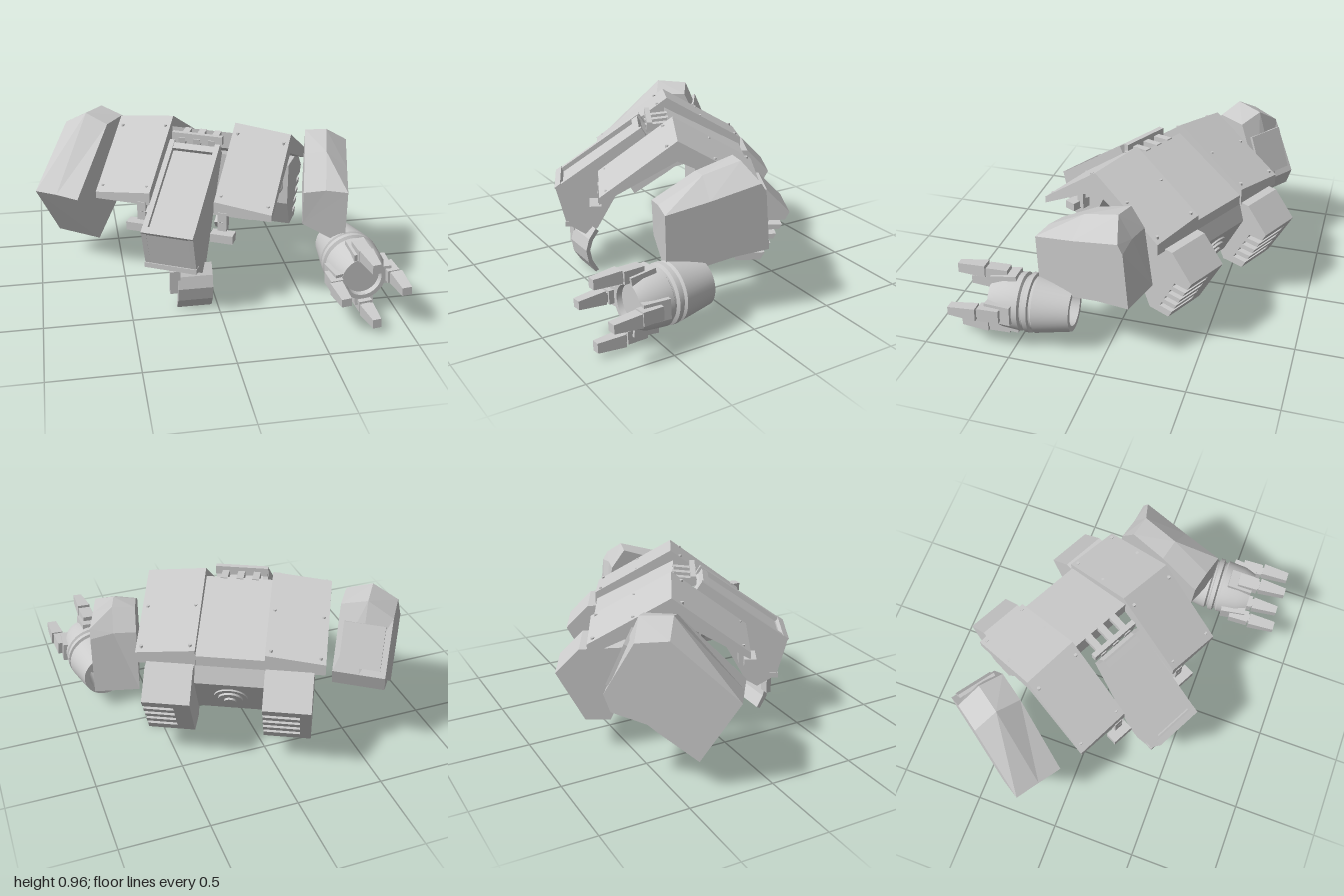
import * as THREE from 'three';
import { toCreasedNormals } from 'three/addons/utils/BufferGeometryUtils.js';

const flat = new THREE.MeshStandardMaterial({ color: 0xcccccc, flatShading: true });
const shell = new THREE.MeshStandardMaterial({ color: 0xcccccc, flatShading: true, side: THREE.DoubleSide });
const smooth = new THREE.MeshStandardMaterial({ color: 0xcccccc, side: THREE.DoubleSide });

function add(parent, name, geo, mat = flat) {
  const m = new THREE.Mesh(geo, mat);
  m.name = name;
  parent.add(m);
  return m;
}

function box(parent, name, size, pos, rx = 0) {
  const m = add(parent, name, new THREE.BoxGeometry(...size));
  m.position.set(...pos);
  m.rotation.x = rx;
  return m;
}

// Side profile of [z, y] points, extruded in x from x0 to x1
function slab(parent, name, pts, x0, x1) {
  const shape = new THREE.Shape(pts.map(p => new THREE.Vector2(...p)));
  const g = new THREE.ExtrudeGeometry(shape, { depth: x1 - x0, bevelEnabled: false });
  g.rotateY(-Math.PI / 2).translate(x1, 0, 0);
  return add(parent, name, g);
}

// Solid through equal rings of [x, y, z] points, wound outward; open leaves out the first side
function loft(rings, open = false) {
  const n = rings[0].length, last = rings.length - 1, tris = [];
  for (let r = 0; r < last; r++) for (let i = open ? 1 : 0; i < n; i++) {
    const j = (i + 1) % n;
    const a = rings[r][i], b = rings[r][j], c = rings[r + 1][j], d = rings[r + 1][i];
    tris.push([a, b, c], [a, c, d]);
  }
  for (let i = 1; i < n - 1; i++) {
    tris.push([rings[0][0], rings[0][i + 1], rings[0][i]]);
    tris.push([rings[last][0], rings[last][i], rings[last][i + 1]]);
  }
  const v = p => new THREE.Vector3(...p);
  const volume = tris.reduce((s, t) => s + v(t[0]).dot(v(t[1]).cross(v(t[2]))), 0);
  if (volume < 0) tris.forEach(t => t.reverse());
  const g = new THREE.BufferGeometry();
  g.setAttribute('position', new THREE.Float32BufferAttribute(tris.flat(2), 3));
  g.computeVertexNormals();
  return g;
}

function bolt(parent, x, y, z) {
  add(parent, 'bolt', new THREE.CylinderGeometry(0.01, 0.01, 0.03, 8)).position.set(x, y, z);
}

// Plate, bolts and broken brackets of one torso side, k = +1 left, -1 right
function torsoSide(torso, k) {
  const ring = (z, top, drop, bottom) => [
    [0.19 * k, top, z], [0.52 * k, top - drop, z], [0.52 * k, bottom, z], [0.19 * k, bottom, z]];
  add(torso, 'torsoPlate', loft([
    ring(-0.53, 0.7, 0.035, 0.6), ring(-0.075, 0.96, 0.035, 0.81), ring(0.35, 0.645, 0.035, 0.57)]));
  for (const [z, y] of [[-0.5, 0.71], [-0.28, 0.83], [-0.02, 0.91], [0.31, 0.66]])
    for (const x of [0.22, 0.49]) bolt(torso, x * k, y - (x - 0.19) * 0.1, z);

  const intake = add(torso, 'intakeRing', new THREE.TorusGeometry(0.06, 0.012, 6, 24), smooth);
  intake.position.set(0.36 * k, 0.48, -0.328);

  box(torso, 'bracketStem', [0.05, 0.15, 0.05], [0.24 * k, 0.51, 0.33]);
  box(torso, 'bracketFoot', [0.13, 0.05, 0.07], [0.25 * k, 0.45, 0.37]);
  box(torso, 'bracketRail', [0.05, 0.05, 0.36], [0.22 * k, 0.6, 0.19], 0.55);
}

// Vent box with four slots in the lower rear face: solid x0..x1, slotted x2..x3
function ventBox(torso, x0, x1, x2, x3) {
  const body = [[-0.33, 0.62], [-0.33, 0.36], [-0.42, 0.18], [-0.56, 0.18]];
  const end = [[-0.715, 0.47], [-0.58, 0.61]];
  const edge = h => -0.56 - (h - 0.18) * 0.534;
  const comb = [...body];
  for (let i = 0; i < 4; i++) {
    const y = 0.225 + i * 0.057, top = y + 0.028;
    comb.push([edge(y), y], [edge(y) + 0.09, y], [edge(top) + 0.09, top], [edge(top), top]);
  }
  slab(torso, 'ventBox', [...body, ...end], x0, x1);
  slab(torso, 'ventLouvres', [...comb, ...end], x2, x3);
}

function buildTorso() {
  const torso = new THREE.Group();
  torso.name = 'torso';
  torso.position.set(-0.031, 0, -0.016);
  torso.rotation.y = -0.47;
  for (const k of [-1, 1]) torsoSide(torso, k);
  ventBox(torso, 0.195, 0.29, 0.29, 0.46);
  ventBox(torso, -0.46, -0.4, -0.4, -0.195);

  // Core block with the waist joint on its sloping rear face, and the deck
  slab(torso, 'core', [[-0.2, 0.7], [-0.2, 0.28], [-0.42, 0.25], [-0.55, 0.5], [-0.52, 0.6]], -0.27, 0.27);
  const waist = new THREE.Group();
  waist.name = 'waistJoint';
  waist.position.set(0, 0.375, -0.485);
  waist.rotation.x = -2.05;
  for (const [r, h] of [[0.095, 0.02], [0.07, 0.045], [0.035, 0.07]])
    add(waist, 'waistDisc', toCreasedNormals(new THREE.CylinderGeometry(r, r, h, 32), 0.6), smooth);
  torso.add(waist);
  slab(torso, 'deck', [[-0.06, 0.9], [-0.52, 0.66], [-0.52, 0.58], [-0.06, 0.8]], -0.19, 0.19);
  for (const x of [-0.09, 0, 0.09]) box(torso, 'hingeProng', [0.04, 0.04, 0.14], [x, 0.875, 0], 0.1);
  box(torso, 'hingeBar', [0.3, 0.05, 0.03], [0, 0.89, 0.05]);

  // Wedge cockpit: recessed roof between two side rails
  const nose = [[0.54, 0.3], [0.43, 0.23], [0.36, 0.27], [0.06, 0.82]];
  slab(torso, 'cockpitHull', [[0.1, 0.85], [0.55, 0.535], [0.595, 0.52], ...nose], -0.12, 0.12);
  for (const x of [-0.15, 0.12]) slab(torso, 'cockpitRail', [[0.1, 0.885], [0.6, 0.53], ...nose], x, x + 0.03);
  box(torso, 'cockpitTopFrame', [0.3, 0.04, 0.04], [0, 0.845, 0.115], 0.6);
  box(torso, 'cockpitFrontFrame', [0.3, 0.03, 0.04], [0, 0.53, 0.58], 0.6);
  box(torso, 'noseBand', [0.305, 0.03, 0.05], [0, 0.3, 0.525]);
  return torso;
}

// Shoulder section at a slice of the pod: inner, crest and outer heights, then the lower edge
const slice = (w, zTop, inner, crest, outer, zBottom, bottom, outerBottom = bottom, zOuter = zTop) => side => [
  [-w * side, bottom, zBottom], [w * side, outerBottom, zBottom],
  [w * side, outer, zOuter], [0, crest, zTop], [-w * side, inner, zTop]];

function shoulder(name, pos, yaw, side, slices, open) {
  const g = new THREE.Group();
  g.name = name;
  g.position.set(...pos);
  g.rotation.y = yaw;
  add(g, name + 'Shell', loft(slices.map(s => s(side)), open), open ? shell : flat);
  return g;
}

// Open forearm sleeve, hand drum and four claw fingers along +z
function buildArm() {
  const arm = new THREE.Group();
  arm.name = 'forearm';
  arm.position.set(0.755, 0.232, 0);
  arm.rotation.y = 0.05;
  const profile = [[0, 0.36], [0.09, 0.36], [0.1, 0.19], [0.13, 0.19], [0.165, 0.39], [0.15, 0.4], [0.15, 0.41],
    [0.168, 0.415], [0.168, 0.44], [0.15, 0.45], [0.15, 0.46], [0.165, 0.47], [0.155, 0.58], [0.13, 0.65],
    [0.105, 0.65], [0.1, 0.62], [0, 0.62]];
  const sleeve = new THREE.LatheGeometry(profile.map(p => new THREE.Vector2(...p)), 40);
  add(arm, 'sleeve', toCreasedNormals(sleeve.rotateX(Math.PI / 2), 0.5), smooth);
  for (let i = 0; i < 4; i++) {
    const finger = new THREE.Group();
    finger.name = 'finger';
    finger.rotation.z = i * Math.PI / 2 + 0.08;
    box(finger, 'knuckle', [0.11, 0.06, 0.15], [0, 0.142, 0.575], 0.12);
    box(finger, 'fingerBase', [0.075, 0.07, 0.12], [0, 0.165, 0.62]);
    box(finger, 'fingerJoint', [0.05, 0.045, 0.08], [0, 0.165, 0.69]);
    add(finger, 'fingerTip', loft([
      [[-0.038, 0.14, 0.69], [0.038, 0.14, 0.69], [0.038, 0.21, 0.69], [-0.038, 0.21, 0.69]],
      [[-0.024, 0.145, 0.85], [0.024, 0.145, 0.85], [0.024, 0.2, 0.85], [-0.024, 0.2, 0.85]]]));
    arm.add(finger);
  }
  return arm;
}

export function createModel() {
  const model = new THREE.Group();
  model.name = 'wreckedMechTorso';
  model.add(buildTorso());

  const right = shoulder('rightShoulder', [-0.675, 0, -0.405], -0.615, -1, [
    slice(0.147, 0.355, 0.52, 0.525, 0.52, 0.14, 0.17),
    slice(0.147, -0.01, 0.87, 0.92, 0.84, -0.08, 0.33),
    slice(0.147, -0.19, 0.87, 0.91, 0.82, -0.13, 0.37),
    slice(0.147, -0.355, 0.53, 0.53, 0.53, -0.32, 0.43)], false);
  box(right, 'rearPanel', [0.23, 0.25, 0.02], [0, 0.68, -0.29], 0.41);
  model.add(right);

  // Left pod is an open-bottomed shell
  model.add(shoulder('leftShoulder', [0.7, 0, 0.09], -0.26, 1, [
    slice(0.125, 0.29, 0.64, 0.66, 0.65, 0.28, 0.44, 0.31),
    slice(0.125, 0.05, 0.78, 0.8, 0.7, 0.05, 0.41, 0.34),
    slice(0.125, -0.16, 0.85, 0.86, 0.77, -0.1, 0.4, 0.37, -0.23),
    slice(0.125, -0.24, 0.74, 0.74, 0.72, -0.29, 0.39, 0.39, -0.26)], true));
  model.add(buildArm());

  // Curled sheet torn from under the nose
  slab(model, 'tornSheet', [[0.4, 0.28], [0.445, 0.22], [0.465, 0.15], [0.45, 0.07], [0.405, 0],
    [0.385, 0.01], [0.425, 0.08], [0.44, 0.15], [0.42, 0.21], [0.38, 0.26]], -0.235, -0.035);
  box(model, 'sheetTab', [0.06, 0.14, 0.03], [-0.25, 0.19, 0.435]);
  return model;
}
